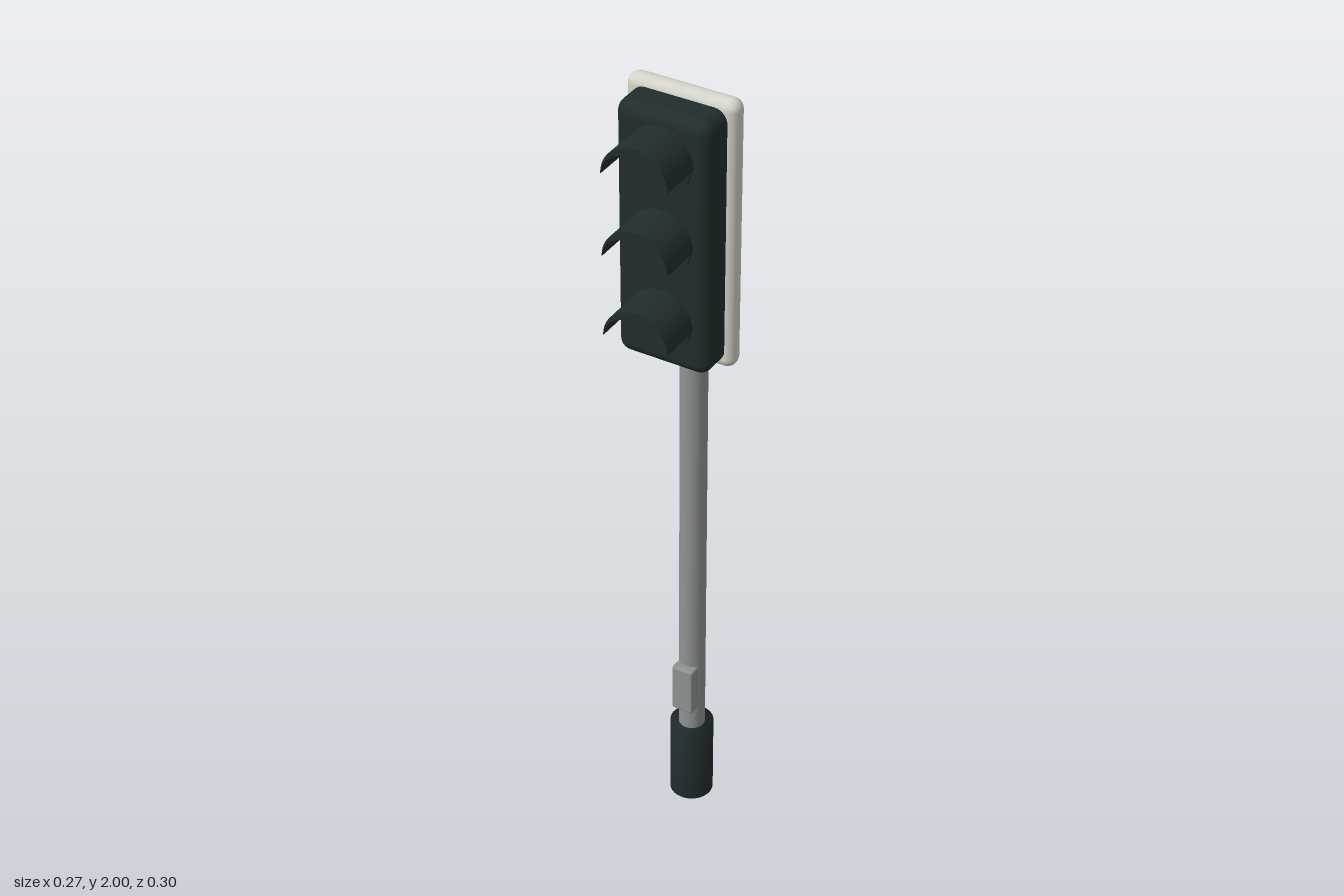
import * as THREE from 'three';
import { RoundedBoxGeometry } from 'three/addons/geometries/RoundedBoxGeometry.js';

const dark = new THREE.MeshStandardMaterial({ color: 0x212d2d });
dark.name = 'dark housing';
const grey = new THREE.MeshStandardMaterial({ color: 0x8f9392 });
grey.name = 'grey metal';
const pale = new THREE.MeshStandardMaterial({ color: 0xd3d3c8 });
pale.name = 'pale plate';

export function createModel() {
  const model = new THREE.Group();
  model.name = 'trafficLight';
  const add = (name, geometry, material, x, y, z) => {
    const mesh = new THREE.Mesh(geometry, material);
    mesh.name = name;
    mesh.position.set(x, y, z);
    model.add(mesh);
    return mesh;
  };
  const poleZ = -0.098;

  // Base sleeve with a shallow recess underneath
  const sleeve = [[0, 0.01], [0.04, 0.01], [0.04, 0], [0.053, 0], [0.053, 0.218], [0, 0.218]];
  const sleeveGeometry = new THREE.LatheGeometry(sleeve.map(p => new THREE.Vector2(...p)), 32);
  add('base', sleeveGeometry, dark, 0, 0, poleZ);

  // Pole and push-button box
  add('pole', new THREE.CylinderGeometry(0.032, 0.032, 1.56, 32), grey, 0, 0.98, poleZ);
  add('buttonBox', new RoundedBoxGeometry(0.056, 0.132, 0.034, 2, 0.006), grey, 0, 0.35, -0.065);

  // Backing plate and signal housing
  add('backPlate', new RoundedBoxGeometry(0.266, 0.656, 0.05, 4, 0.0245), pale, 0, 1.672, -0.056);
  add('housing', new RoundedBoxGeometry(0.226, 0.62, 0.115, 4, 0.03), dark, 0, 1.672, -0.0125);

  // Visor section: crescent, thick at the top and pointed at both sides
  const crescent = new THREE.Shape();
  crescent.absarc(0, 0, 0.079, 0, Math.PI, false);
  crescent.absellipse(0, 0, 0.078, 0.059, Math.PI, 0, true, 0);
  const visorGeometry = new THREE.ExtrudeGeometry(crescent, {
    depth: 0.108, bevelEnabled: false, curveSegments: 24,
  });

  // Three lamps, each a lens disc under a visor
  const lensGeometry = new THREE.CylinderGeometry(0.075, 0.075, 0.02, 40).rotateX(Math.PI / 2);
  for (let i = 0; i < 3; i++) {
    const y = 1.873 - i * 0.198;
    add('lens' + (i + 1), lensGeometry, dark, 0, y, 0.042);
    add('visor' + (i + 1), visorGeometry, dark, 0, y, 0.042);
  }
  return model;
}
